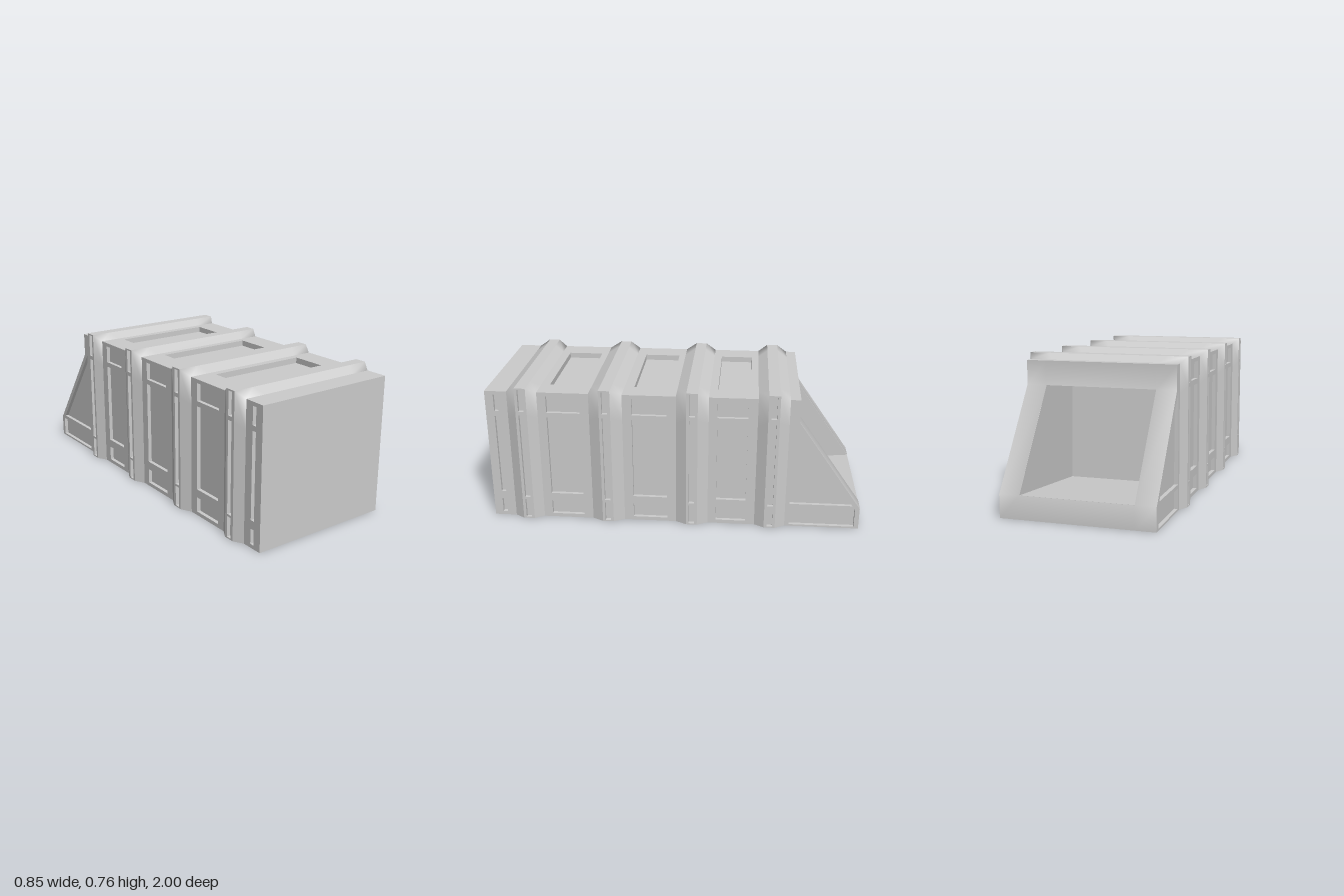
import * as THREE from 'three';

const material = new THREE.MeshStandardMaterial({ color: 0xcccccc });

const W = 0.395, H = 0.735;          // half width and height of the body
const SIDE = 0.02, TOP = 0.03;       // panel recess depths
const RIB = 0.03;                    // how far the ribs stand out
const SLOT = 0.02;                   // depth of the slots in the ribs
const CAVITY = 0.29;                 // half width of the back opening
const ribs = [[0.802, 0.08], [0.36, 0.088], [-0.097, 0.086], [-0.52, 0.082]]; // centre, half length

const rect = (a0, a1, b0, b1) => [[a0, b0], [a1, b0], [a1, b1], [a0, b1]];

function toPath(points, Type) {
  const path = points.map(([a, b]) => new THREE.Vector2(-a, b));
  if (THREE.ShapeUtils.isClockWise(path)) path.reverse();
  return new Type(path);
}

function add(group, name, geometry) {
  const mesh = new THREE.Mesh(geometry, material);
  mesh.name = name;
  group.add(mesh);
}

function extrude(outline, holes, depth) {
  const shape = toPath(outline, THREE.Shape);
  shape.holes = holes.map((h) => toPath(h, THREE.Path));
  return new THREE.ExtrudeGeometry(shape, { depth, bevelEnabled: false });
}

// Extrudes a [z, y] profile across x, from x0 to x1
function acrossX(outline, holes, x0, x1) {
  return extrude(outline, holes, x1 - x0).rotateY(Math.PI / 2).translate(x0, 0, 0);
}

// Joins rows of points with quads; shared corners give smooth normals
function loft(rows, keep) {
  const n = rows[0].length, index = [];
  for (let r = 0; r < rows.length - 1; r++) {
    for (let j = 0; j < n - 1; j++) {
      if (!keep(r, j)) continue;
      const a = r * n + j, d = a + n;
      index.push(a, a + 1, d + 1, a, d + 1, d);
    }
  }
  const geometry = new THREE.BufferGeometry();
  geometry.setAttribute('position', new THREE.Float32BufferAttribute(rows.flat(2), 3));
  geometry.setIndex(index);
  geometry.computeVertexNormals();
  return geometry;
}

// Cross-section of a rib: an arch over the body, then its underside
function ribSection(z, out) {
  const w = W + out, h = H + out;
  return [[-w, 0], [-w, h - 0.15], [-w, h], [0.11 - w, h], [w - 0.11, h],
    [w, h], [w, h - 0.15], [w, 0], [w, 0], [-w, 0]].map(([x, y]) => [x, y, z]);
}

export function createModel() {
  const model = new THREE.Group();
  model.name = 'ribbedContainer';

  const profile = (top) => [[1, 0], [1, top], [-0.655, top], [-0.655, 0.61], [-1, 0.12], [-1, 0]];
  const inner = W - SIDE;

  // Core with the cavity opening through the sloped back
  add(model, 'core', acrossX([
    [1, 0], [1, H - TOP], [-0.655, H - TOP], [-0.655, 0.61],
    [-0.305, 0.6], [-0.325, 0.06], [-1, 0.12], [-1, 0],
  ], [], -CAVITY, CAVITY));

  // Softly shaded rim around the opening
  const rimLevels = [[-0.655, H], [-0.655, 0.61], [-1, 0.12], [-1, 0]];
  add(model, 'backRim', loft(
    rimLevels.map(([z, y]) => [-W, -CAVITY, CAVITY, W].map((x) => [x, y, z - 0.002])),
    (r, j) => r !== 1 || j !== 1));

  // Recessed panels on the sides: three per bay, plus two on the back wedge
  const bays = [[0.93, 0.955], [0.497, 0.675], [0.037, 0.222], [-0.388, -0.228]];
  const sidePanels = bays.flatMap(([z0, z1]) =>
    [[0.02, 0.1], [0.145, 0.595], [0.622, 0.715]].map(([y0, y1]) => rect(z0, z1, y0, y1)));
  sidePanels.push([[-0.625, 0.61], [-0.625, 0.135], [-0.96, 0.135]]);
  sidePanels.push(rect(-0.975, -0.625, 0.01, 0.115));

  for (const side of [1, -1]) {
    const label = side > 0 ? 'left' : 'right';
    const span = (a, b) => (side > 0 ? [a, b] : [-b, -a]);
    add(model, label + 'Wall', acrossX(profile(H - TOP), [], ...span(CAVITY, inner)));
    add(model, label + 'PanelFrame', acrossX(profile(H), sidePanels, ...span(inner, W)));
    // Flat outer faces of the ribs with narrow slots
    for (const [c] of ribs) {
      const slots = [[0.007, 0.118], [0.13, 0.613], [0.635, 0.757]].map(
        ([y0, y1]) => rect(c - 0.015, c + 0.015, y0, y1));
      add(model, label + 'RibFace', acrossX(
        rect(c - 0.03, c + 0.03, 0, H + RIB), slots, ...span(W + RIB - SLOT, W + RIB)));
    }
  }

  // Roof plate with a recessed panel between each pair of ribs
  const roofPanels = [[0.485, 0.675], [0.025, 0.22], [-0.4, -0.225]].map(
    ([z0, z1]) => rect(-0.27, 0.27, -z1, -z0));
  add(model, 'roofPanelFrame',
    extrude(rect(-inner, inner, -1, 0.655), roofPanels, TOP)
      .rotateX(-Math.PI / 2).translate(0, H - TOP, 0));

  // Ribs: a flat-topped arch with a sloped flank in front and behind
  const e = W + RIB - SLOT, i = W - 0.01;
  const arch = [[-e, 0], [-e, H + RIB], [e, H + RIB], [e, 0],
    [i, 0], [i, H - 0.01], [-i, H - 0.01], [-i, 0]];
  for (const [c, half] of ribs) {
    add(model, 'ribArch', extrude(arch, [], 0.06).translate(0, 0, c - 0.03));
    const flanks = [
      [ribSection(c + half, 0), ribSection(c + 0.03, RIB)],
      [ribSection(c - 0.03, RIB), ribSection(c - half, 0)],
    ];
    for (const rows of flanks) add(model, 'ribFlank', loft(rows, (r, j) => j !== 7));
  }

  return model;
}
